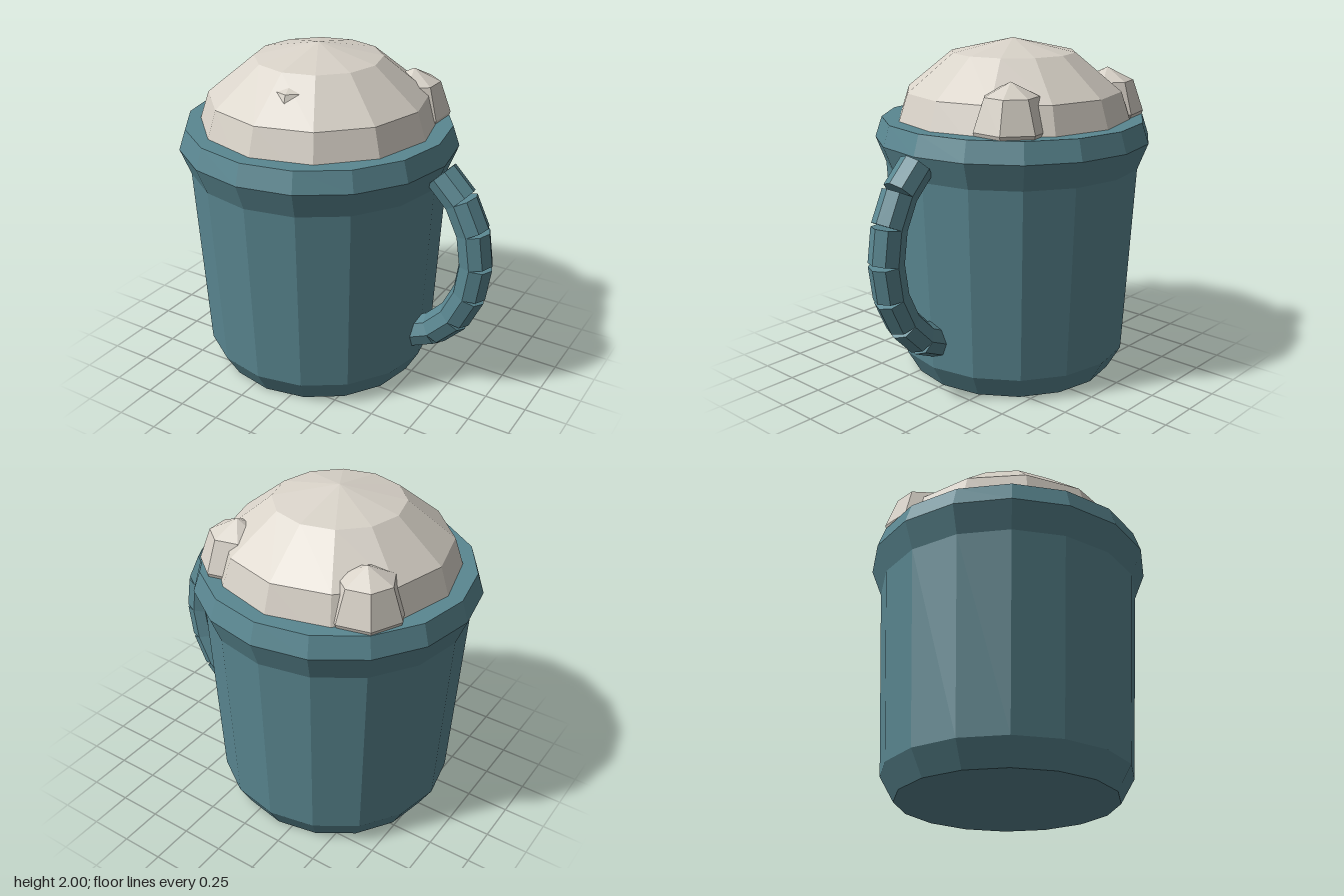
import * as THREE from 'three';

export function createModel() {
  const group = new THREE.Group();
  group.name = 'mugOfFoam';
  const teal = new THREE.MeshStandardMaterial({ color: 0x5a8791, flatShading: true });
  teal.name = 'teal glaze';
  const cream = new THREE.MeshStandardMaterial({ color: 0xd8d2c8, flatShading: true });
  cream.name = 'cream foam';

  const cx = -0.16; // axis of the cup

  function add(name, geometry, material, x, y, z) {
    const mesh = new THREE.Mesh(geometry, material);
    mesh.name = name;
    mesh.position.set(x, y, z);
    group.add(mesh);
    return mesh;
  }

  // Cup: closed sixteen-sided profile with a chamfered foot and a flared rim
  const profile = [[0, 0], [0.62, 0], [0.70, 0.14], [0.76, 1.265], [0.82, 1.42], [0.78, 1.54], [0, 1.54]]
    .map(([r, y]) => new THREE.Vector2(r, y));
  add('cup', new THREE.LatheGeometry(profile, 16), teal, cx, 0, 0);

  // Foam dome: upper half of a flattened sphere
  const dome = new THREE.SphereGeometry(1, 12, 3, 0, Math.PI * 2, 0, Math.PI / 2);
  dome.scale(0.74, 0.6, 0.74);
  add('foamDome', dome, cream, cx, 1.4, 0);

  // Foam lumps breaking through the dome: x, y, z, radius, half height
  const lumps = [
    [-0.58, 1.56, -0.38, 0.22, 0.26],
    [0.27, 1.56, -0.355, 0.22, 0.26],
    [-0.10, 1.71, 0.33, 0.21, 0.185],
  ];
  for (const [x, y, z, r, h] of lumps) {
    const lump = new THREE.SphereGeometry(1, 7, 4);
    lump.scale(r, h, r);
    add('foamLump', lump, cream, x, y, z);
  }

  // Handle: straight octagonal links laid end to end along an elliptical arc
  const joint = (deg) => {
    const a = THREE.MathUtils.degToRad(deg);
    return new THREE.Vector3(0.40 + 0.48 * Math.cos(a), 0.865 + 0.58 * Math.sin(a), 0);
  };
  for (let deg = -80; deg < 60; deg += 20) {
    const a = joint(deg), b = joint(deg + 20);
    const dir = b.clone().sub(a);
    const mid = a.clone().add(b).multiplyScalar(0.5);
    const link = new THREE.CylinderGeometry(0.1, 0.1, dir.length(), 8);
    const mesh = add('handleLink', link, teal, mid.x, mid.y, 0);
    mesh.rotation.z = Math.atan2(dir.y, dir.x) - Math.PI / 2;
  }

  return group;
}
